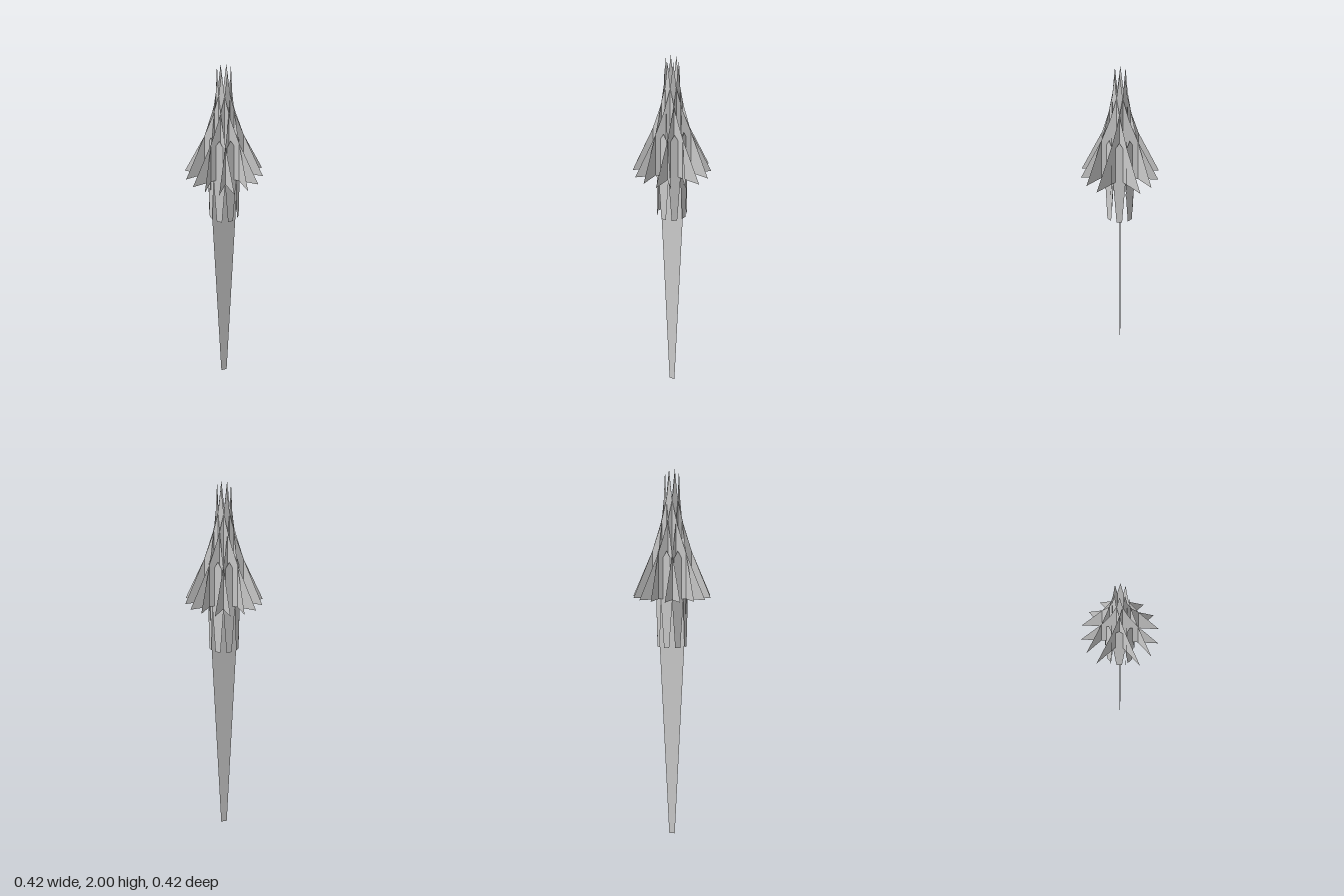
import * as THREE from 'three';

const material = new THREE.MeshStandardMaterial({
  color: 0xcccccc, flatShading: true, side: THREE.DoubleSide,
});

// Flat symmetric sheet in the xy plane from [y, halfWidth] pairs, top to bottom
function sheet(profile) {
  const right = profile.map(([y, w]) => new THREE.Vector2(w, y));
  const left = profile.filter(([, w]) => w > 0)
    .map(([y, w]) => new THREE.Vector2(-w, y)).reverse();
  return new THREE.ShapeGeometry(new THREE.Shape([...right, ...left]));
}

// Ring of upright sheets, each facing outward at the given distance
function ring(name, profile, distance, count) {
  const group = new THREE.Group();
  group.name = name + 's';
  const geometry = sheet(profile).translate(0, 0, distance);
  for (let i = 0; i < count; i++) {
    const mesh = new THREE.Mesh(geometry, material);
    mesh.name = name;
    mesh.rotation.y = (i / count) * Math.PI * 2;
    group.add(mesh);
  }
  return group;
}

export function createModel() {
  const model = new THREE.Group();
  model.name = 'flaredSpike';

  // Long tapering blade, a single plane through the axis
  const blade = new THREE.Mesh(
    sheet([[1.56, 0], [1.5, 0.045], [1.3, 0.085], [1, 0.07], [0, 0.016]]), material);
  blade.name = 'blade';
  model.add(blade);

  // Eight concave flared panels meeting in a crown of points
  model.add(ring('flaredPanel',
    [[2, 0], [1.84, 0.017], [1.7, 0.05], [1.55, 0.1], [1.3, 0.21]], 0.041, 8));

  // Eight narrow leaves hanging below the flare
  model.add(ring('leaf',
    [[1.565, 0], [1.525, 0.022], [1.3, 0.034], [1.03, 0.015]], 0.079, 8));

  return model;
}
